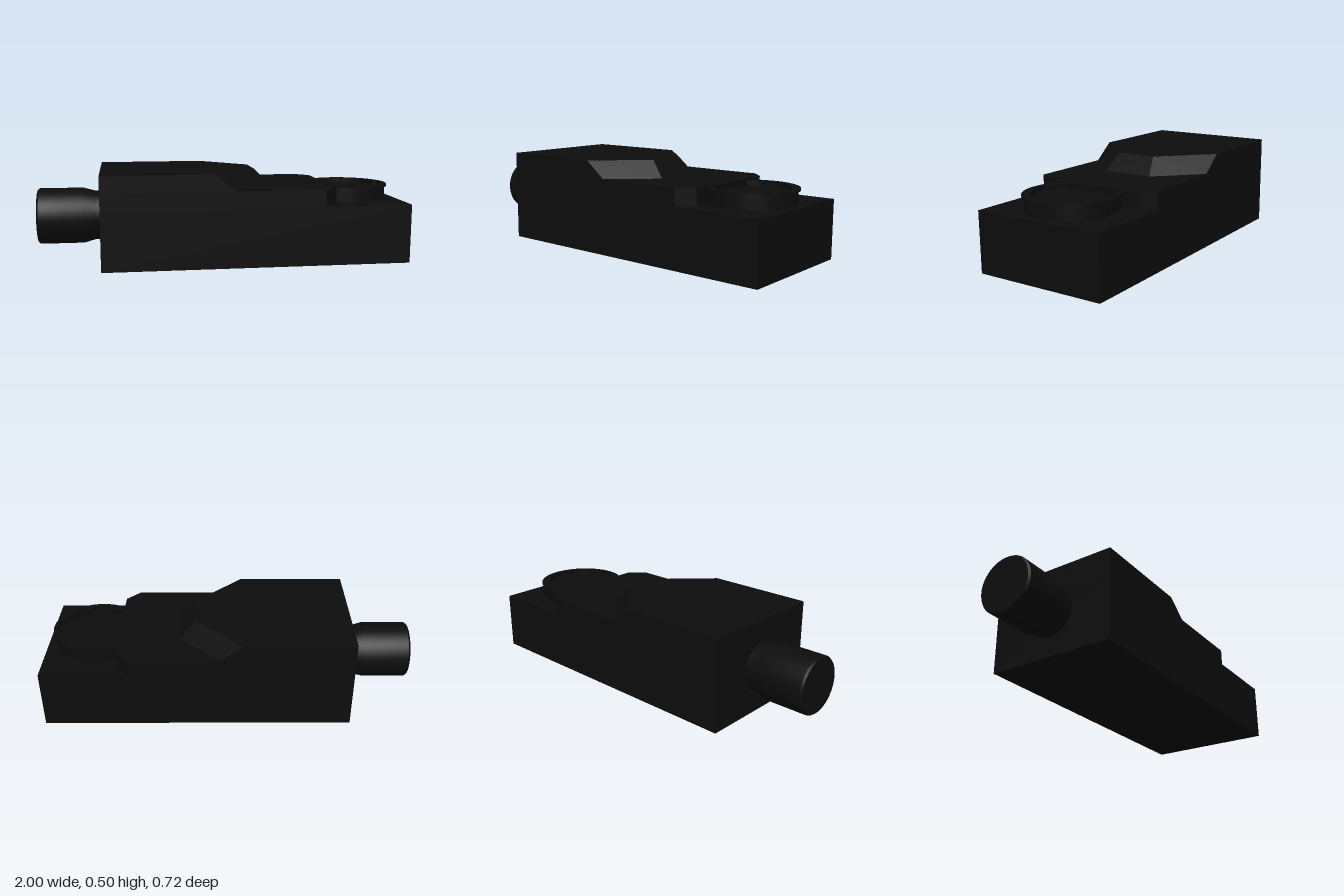
import * as THREE from 'three';
import { toCreasedNormals } from 'three/addons/utils/BufferGeometryUtils.js';
import { ConvexGeometry } from 'three/addons/geometries/ConvexGeometry.js';

const black = new THREE.MeshStandardMaterial({ color: 0x0d0d0d });
black.name = 'matte black';

// Plan outline (x, z), given for the z >= 0 half and mirrored across z = 0
const mirrored = (half) => [...half, ...half.map(([x, z]) => [x, -z]).reverse()];

// Vertical extrusion of a plan shape between two heights
function slab(shape, y0, y1) {
  const g = new THREE.ExtrudeGeometry(shape, { depth: y1 - y0, bevelEnabled: false, curveSegments: 48 });
  return g.rotateX(-Math.PI / 2).translate(0, y0, 0);
}

function lathe(points, segments = 64) {
  const g = new THREE.LatheGeometry(points.map(([r, y]) => new THREE.Vector2(r, y)), segments);
  return toCreasedNormals(g, 0.35);
}

export function createModel() {
  const model = new THREE.Group();
  const add = (name, geometry) => {
    const mesh = new THREE.Mesh(geometry, black);
    mesh.name = name;
    model.add(mesh);
    return mesh;
  };

  // Long base block
  add('base', new THREE.BoxGeometry(1.66, 0.32, 0.72).translate(0.17, 0.16, 0));

  // Middle deck with chamfered end corners
  const deck = mirrored([[-0.66, 0.36], [0.525, 0.36], [0.6, 0.285]]);
  add('middleDeck', slab(new THREE.Shape(deck.map(([x, z]) => new THREE.Vector2(x, z))), 0.32, 0.41));

  // Raised housing with sloping, faceted end
  const low = mirrored([[-0.66, 0.36], [0.045, 0.36], [0.265, 0.14]]);
  const high = mirrored([[-0.66, 0.36], [-0.07, 0.36], [0.18, 0.11]]);
  add('raisedHousing', new ConvexGeometry([
    ...low.map(([x, z]) => new THREE.Vector3(x, 0.41, z)),
    ...high.map(([x, z]) => new THREE.Vector3(x, 0.5, z)),
  ]));

  // Side connector with a narrower neck
  const connector = lathe([[0, -1], [0.145, -1], [0.153, -0.99], [0.153, -0.755],
    [0.136, -0.695], [0.136, -0.65]]);
  add('connector', connector.rotateZ(-Math.PI / 2).translate(0, 0.243, 0));

  // Round mount: drum, then a lip with a notched opening
  const mount = new THREE.Group();
  mount.name = 'roundMount';
  mount.position.set(0.728, 0, 0);
  model.add(mount);
  mount.add(add('mountDrum', lathe([[0.232, 0.31], [0.232, 0.375], [0, 0.375]])));

  const ring = (radius) => {
    const shape = new THREE.Shape().absarc(0, 0, radius, 0, Math.PI * 2);
    const hole = new THREE.Path();
    const inner = Math.asin(0.05 / 0.2), outer = Math.asin(0.05 / 0.222);
    for (let i = 0; i < 4; i++) {
      const a = i * Math.PI / 2;
      hole.absarc(0, 0, 0.222, a - outer, a + outer);
      hole.absarc(0, 0, 0.2, a + inner, a + Math.PI / 2 - inner);
    }
    hole.closePath();
    shape.holes.push(hole);
    return shape;
  };
  mount.add(add('mountWall', toCreasedNormals(slab(ring(0.232), 0.37, 0.39), 0.35)));
  mount.add(add('mountLip', toCreasedNormals(slab(ring(0.243), 0.388, 0.4), 0.35)));

  return model;
}
